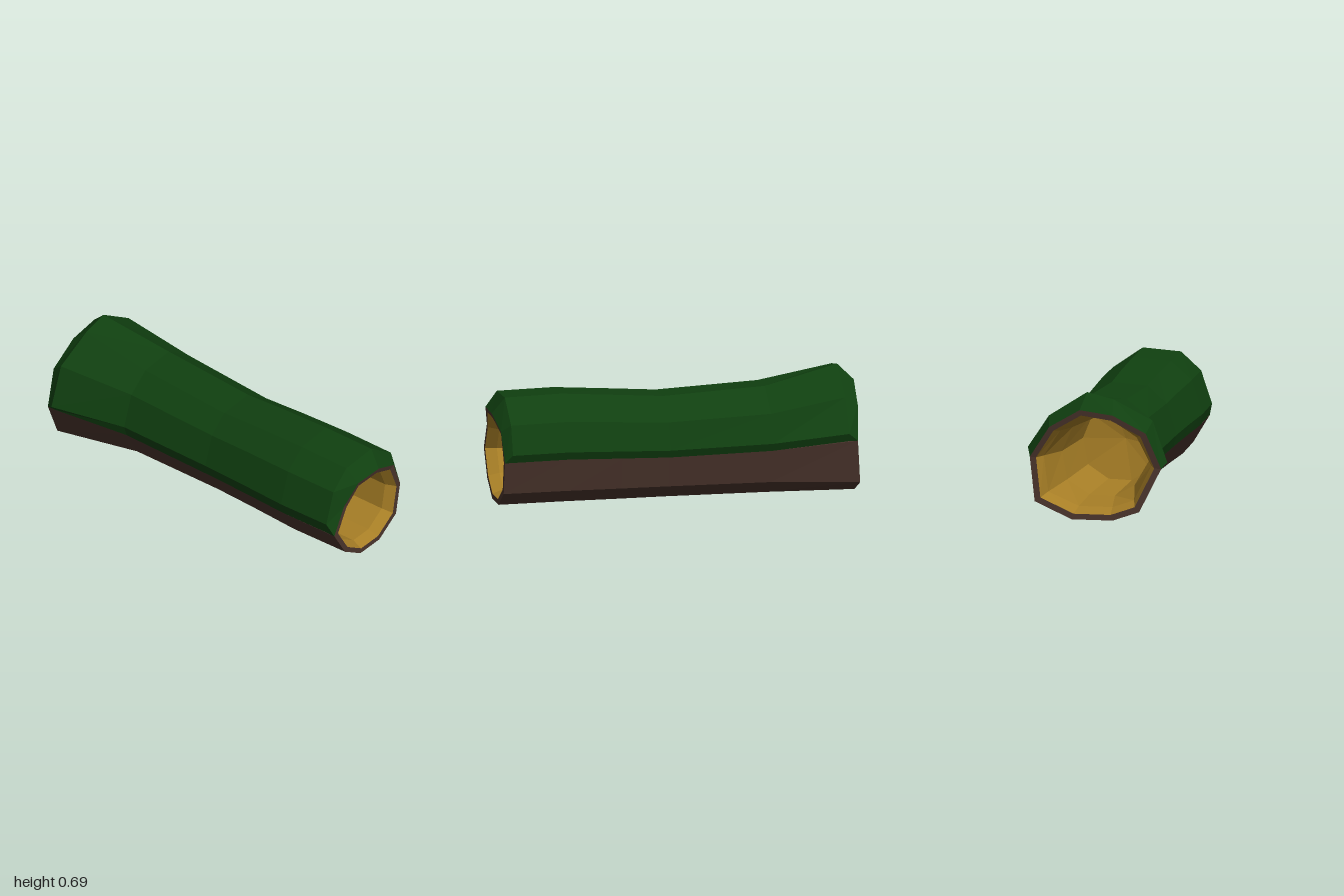
import * as THREE from 'three';

// Cross-sections [x, y], counter-clockwise seen from the front.
const barkFront = [[-0.26, 0.24], [-0.17, 0.09], [-0.04, 0.01], [0.12, 0.015], [0.26, 0.11],
  [0.295, 0.29], [0.23, 0.45], [0.08, 0.515], [-0.09, 0.51], [-0.18, 0.39]];
const barkBack = [[-0.36, 0.285], [-0.245, 0.05], [-0.1, 0], [0.125, 0], [0.33, 0.09],
  [0.36, 0.33], [0.25, 0.5], [0.08, 0.6], [-0.1, 0.575], [-0.28, 0.48]];
// Moss blanket, from its right-hand edge over the top to the other edge.
const mossFront = [[0.315, 0.335], [0.265, 0.49], [0.1, 0.605], [-0.11, 0.59], [-0.22, 0.49], [-0.28, 0.31]];
const mossBack = [[0.38, 0.375], [0.265, 0.55], [0.055, 0.685], [-0.09, 0.65], [-0.305, 0.54], [-0.385, 0.315]];

// Stations along the log: z, blend towards the back section, size, sideways shift.
const stations = [[0.93, 0, 1, 0], [0.62, 0.05, 1, -0.005], [0.32, 0.02, 0.97, 0.005],
  [0.06, 0, 0.94, 0.01], [-0.5, 0.13, 0.97, 0.02], [-0.91, 1, 1, 0]];

const blend = (a, b, [, t, k, dx]) => a.map(([x, y], i) => [
  THREE.MathUtils.lerp(x, b[i][0], t) * k + dx,
  THREE.MathUtils.lerp(y, b[i][1], t) * k,
]);
const atZ = (points, z) => points.map(([x, y]) => [x, y, z]);

// Shrinks a section towards the middle of the log.
const shrink = (points, s, cy) => points.map(([x, y]) => [0.02 + (x - 0.02) * s, cy + (y - cy) * s]);

// Uneven cut at each end: the upper and lower edges stick out further.
const cutFront = (points) => points.map(([x, y]) => [x, y, 0.97 + Math.max(0, y - 0.42) * 0.3]);
const cutBack = (points) => points.map(([x, y]) => [x, y, -0.955 - Math.abs(y - 0.28) * 0.13]);

// Skins a list of rings, front to back, with flat facets.
function loft(name, rings, color, closed = true) {
  const n = rings[0].length;
  const index = [];
  for (let r = 0; r < rings.length - 1; r++) {
    for (let j = 0; j < (closed ? n : n - 1); j++) {
      const a = r * n + j, b = r * n + (j + 1) % n;
      index.push(a, a + n, b + n, a, b + n, b);
    }
  }
  let geometry = new THREE.BufferGeometry();
  geometry.setAttribute('position', new THREE.Float32BufferAttribute(rings.flat(2), 3));
  geometry.setIndex(index);
  geometry = geometry.toNonIndexed();
  geometry.computeVertexNormals();
  const mesh = new THREE.Mesh(geometry, new THREE.MeshStandardMaterial({
    color, flatShading: true, side: THREE.DoubleSide,
  }));
  mesh.name = name;
  return mesh;
}

export function createModel() {
  const log = new THREE.Group();
  log.name = 'hollowLog';
  const brown = 0x4a342c, gold = 0xa87f26, green = 0x104010;
  const frontY = 0.27, backY = 0.3;

  // Bark tube with a narrow rim at both ends
  log.add(loft('bark', [
    cutFront(shrink(barkFront, 0.89, frontY)),
    cutFront(barkFront),
    ...stations.slice(1, -1).map((s) => atZ(blend(barkFront, barkBack, s), s[0])),
    cutBack(barkBack),
    cutBack(shrink(barkBack, 0.9, backY)),
  ], brown));

  // Wood hollows: bevelled mouth, bore and a floor deep inside
  const middle = blend(barkFront, barkBack, stations[3]);
  log.add(loft('frontHollow', [
    atZ(shrink(middle, 0, frontY), 0.03),
    atZ(shrink(middle, 0.85, frontY), 0.07),
    atZ(shrink(barkFront, 0.8, frontY), 0.91),
    cutFront(shrink(barkFront, 0.89, frontY)),
  ], gold));
  log.add(loft('backHollow', [
    cutBack(shrink(barkBack, 0.9, backY)),
    atZ(shrink(barkBack, 0.82, backY), -0.88),
    atZ(shrink(blend(barkFront, barkBack, stations[4]), 0.85, frontY), -0.5),
    atZ(shrink(middle, 0.85, frontY), -0.02),
    atZ(shrink(middle, 0, frontY), 0.02),
  ], gold));

  // Moss blanket: tucked under along both sides and turned in at both ends
  const lip = (bark) => [5, 5, 6, 7, 8, 9, 0, 0].map((i) => bark[i]);
  const mossRings = stations.map((s) => {
    const bark = blend(barkFront, barkBack, s);
    const moss = blend(mossFront, mossBack, s);
    return atZ([bark[5], ...moss, bark[0]], s[0]);
  });
  log.add(loft('moss', [
    cutFront(lip(barkFront)),
    ...mossRings,
    cutBack(lip(barkBack)),
  ], green, false));

  return log;
}
